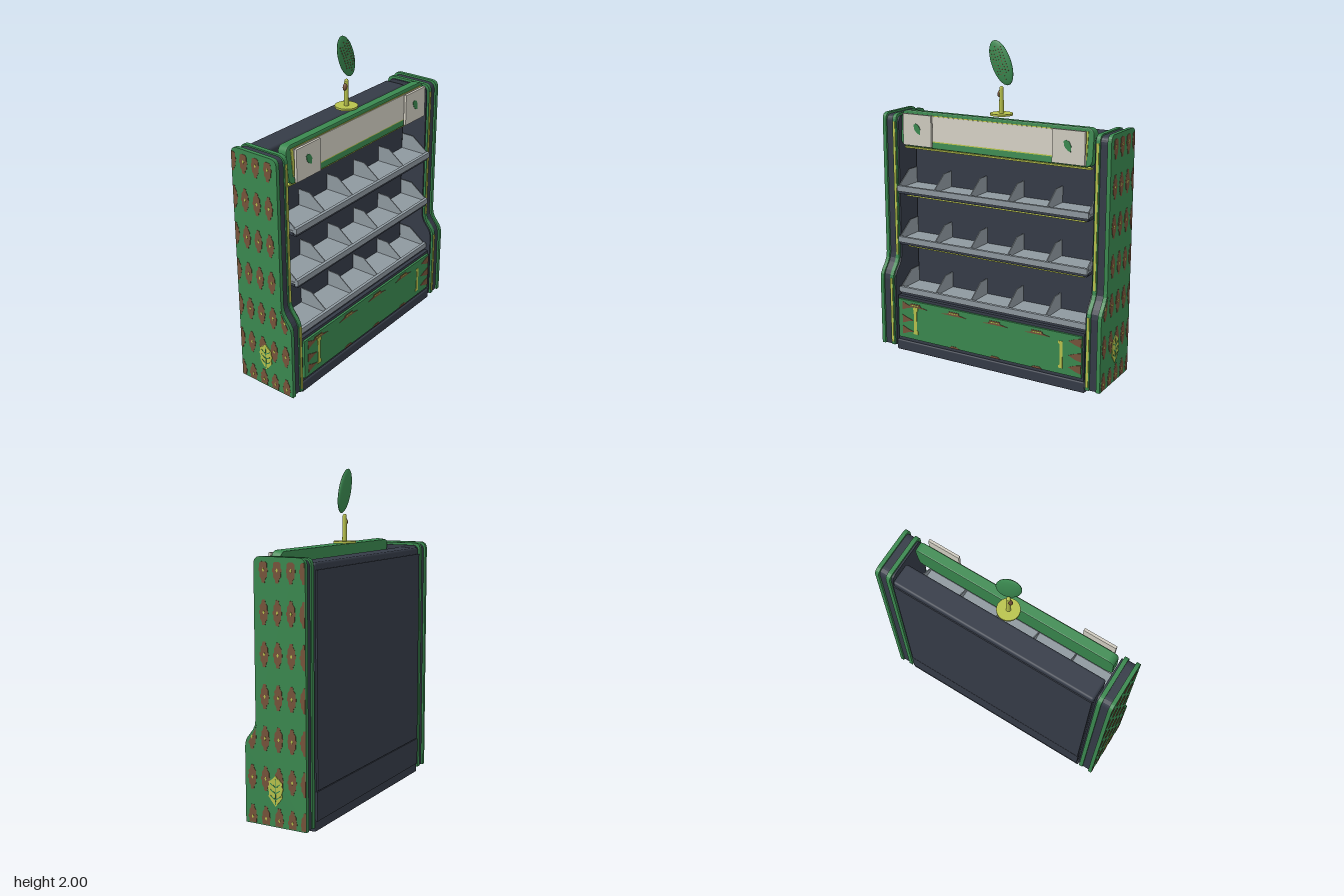
import * as THREE from 'three';
import { mergeGeometries } from 'three/addons/utils/BufferGeometryUtils.js';
import { RoundedBoxGeometry } from 'three/addons/geometries/RoundedBoxGeometry.js';

const paint = (name, color) => Object.assign(new THREE.MeshStandardMaterial({ color }), { name });

export function createModel() {
  const root = new THREE.Group();
  root.name = 'displayShelf';
  const green = paint('leaf green', 0x3a884f);
  const dark = paint('charcoal', 0x353b47);
  const grey = paint('shelf grey', 0x8e989f);
  const cream = paint('cream', 0xd0ccc0);
  const lime = paint('lime yellow', 0xb8c24c);
  const brown = paint('brown', 0x76533a);

  const add = (name, geo, mat, parent = root) => {
    const mesh = new THREE.Mesh(geo, mat);
    mesh.name = name;
    parent.add(mesh);
    return mesh;
  };
  // Box given by its limits on each axis, optionally with soft edges
  const block = (x0, x1, y0, y1, z0, z1, r = 0) => {
    const s = [x1 - x0, y1 - y0, z1 - z0];
    const g = r ? new RoundedBoxGeometry(...s, 2, r) : new THREE.BoxGeometry(...s);
    return g.translate((x0 + x1) / 2, (y0 + y1) / 2, (z0 + z1) / 2);
  };
  const poly = pts => new THREE.Shape(pts.map(p => new THREE.Vector2(...p)));
  const extrude = (shape, depth) => new THREE.ExtrudeGeometry(shape, { depth, bevelEnabled: false, curveSegments: 6 });
  // Shape drawn in (z, y), extruded along x between two limits
  const slabX = (shape, x0, x1) => extrude(shape, x1 - x0).rotateY(-Math.PI / 2).translate(x1, 0, 0);
  // Shape drawn in (x, y), lying on a front face
  const plateZ = (shape, z, t = 0.003) => extrude(shape, t).translate(0, 0, z);

  // Side outline in (z, y): wide foot, sloped step, rounded top
  const outline = (d, r) => {
    const s = new THREE.Shape();
    const back = -0.197 + d, top = 1.532 - d, front = 0.128 - d, foot = 0.2 - d;
    s.moveTo(back, 0.03);
    s.lineTo(foot, 0.03);
    s.lineTo(foot, 0.47);
    s.bezierCurveTo(foot, 0.54, front, 0.55, front, 0.63);
    s.lineTo(front, top - r);
    s.quadraticCurveTo(front, top, front - r, top);
    s.lineTo(back + r, top);
    s.quadraticCurveTo(back, top, back, top - r);
    return s;
  };
  const frontZ = y => 0.192 - 0.07 * THREE.MathUtils.clamp((y - 0.47) / 0.12, 0, 1);

  // Repeating woven motif, cut off at the panel edge
  const motif = (z, y) => {
    const half = [[0.009, 0.07], [0.013, 0.05], [0.024, 0.036], [0.024, 0.012], [0.029, 0.008]];
    const right = [...half, ...half.map(([a, b]) => [a, -b]).reverse()];
    const pts = [...right, ...right.map(([a, b]) => [-a, b]).reverse()];
    return poly(pts.map(([a, b]) => {
      const py = THREE.MathUtils.clamp(y + b, 0.036, 1.505);
      return [THREE.MathUtils.clamp(z + a, -0.193, frontZ(py)), py];
    }));
  };
  const diamond = (x, y, w, h) => poly([[x - w, y], [x, y - h], [x + w, y], [x, y + h]]);

  // Side panels with their pattern and leaf badge
  const leaf = poly([[0, 0.15], [0.022, 0.175], [0.045, 0.205], [0.04, 0.225], [0.05, 0.255], [0.042, 0.27], [0.043, 0.29],
    [0.02, 0.305], [0, 0.327], [-0.02, 0.305], [-0.043, 0.29], [-0.042, 0.27], [-0.05, 0.255], [-0.04, 0.225], [-0.045, 0.205], [-0.022, 0.175]]);
  const veins = [poly([[-0.003, 0.16], [0.003, 0.16], [0.002, 0.305], [-0.002, 0.305]])];
  for (const y of [0.185, 0.22, 0.255]) for (const s of [-1, 1]) {
    veins.push(poly([[0, y], [s * 0.032, y + 0.022], [s * 0.032, y + 0.028], [0, y + 0.008]]));
  }
  for (const s of [-1, 1]) {
    const side = new THREE.Group();
    side.name = s > 0 ? 'leftSide' : 'rightSide';
    root.add(side);
    const slab = (shape, a, b) => slabX(shape, Math.min(s * a, s * b), Math.max(s * a, s * b));
    add('outerPanel', slab(outline(0, 0.045), 0.752, 0.776), green, side);
    add('column', slab(outline(0.012, 0.045), 0.685, 0.752), dark, side);
    add('columnInner', slab(outline(0.018, 0.045), 0.669, 0.685), dark, side);
    add('edgeTrim', slab(outline(0.004, 0.045), 0.68, 0.706), green, side);
    // Light strips above and below the step
    const xs = [s * 0.693 - 0.007, s * 0.693 + 0.007];
    add('upperLightStrip', block(...xs, 0.62, 1.48, 0.115, 0.128), lime, side);
    add('lowerLightStrip', block(...xs, 0.05, 0.48, 0.185, 0.2), lime, side);

    const motifs = [], dots = [];
    [0.07, 0.3, 0.53, 0.765, 1.0, 1.23, 1.46].forEach((y, row) => {
      for (const z of [0.153, 0.065, -0.022, -0.108, -0.19]) {
        if (z > 0.1 && row > 2) continue;
        motifs.push(slab(motif(z, y), 0.774, 0.778));
        if (z > -0.15) dots.push(slab(diamond(z, y, 0.007, 0.012), 0.776, 0.779));
      }
    });
    add('sidePattern', mergeGeometries(motifs), brown, side);
    add('patternDots', mergeGeometries(dots), lime, side);
    add('leafBadge', slab(leaf, 0.776, 0.781), lime, side);
    add('leafBadgeVeins', mergeGeometries(veins.map(v => slab(v, 0.779, 0.7825))), green, side);
  }

  // Main body
  add('base', block(-0.67, 0.67, 0, 0.068, -0.19, 0.183, 0.008), dark);
  add('backWall', block(-0.66, 0.66, 0.06, 1.5, -0.192, -0.05, 0.015), dark);
  add('backPanel', block(-0.655, 0.655, 0.235, 1.46, -0.198, -0.185), dark);
  add('backLowerPanel', block(-0.66, 0.66, 0.06, 0.23, -0.198, -0.185), dark);
  add('lowerCabinet', block(-0.66, 0.66, 0.06, 0.368, -0.06, 0.172), dark);
  add('frontPanel', block(-0.65, 0.65, 0.092, 0.35, 0.165, 0.186), green);

  // Painted decoration of the front panel
  const marks = [], trims = [];
  const z = 0.186;
  for (const x of [-0.52, -0.23, 0.065, 0.355]) {
    marks.push(plateZ(poly([[x - 0.09, 0.309], [x + 0.09, 0.309], [x + 0.04, 0.319], [x + 0.035, 0.333], [x - 0.035, 0.333], [x - 0.04, 0.319]]), z));
    if (x > -0.5) marks.push(plateZ(poly([[x - 0.04, 0.092], [x + 0.04, 0.092], [x + 0.02, 0.105], [x - 0.02, 0.105]]), z));
    trims.push(plateZ(poly([[x - 0.03, 0.321], [x + 0.03, 0.321], [x + 0.03, 0.326], [x - 0.03, 0.326]]), z + 0.002));
  }
  for (const y of [0.145, 0.22, 0.31]) for (const s of [-1, 1]) {
    const a = s * 0.648, b = s * 0.565;
    marks.push(plateZ(poly(s > 0
      ? [[a, y - 0.028], [a, y + 0.028], [a - 0.04, y + 0.018], [b, y], [a - 0.04, y - 0.018]]
      : [[a + 0.03, y - 0.028], [a + 0.07, y - 0.012], [b + 0.03, y], [a + 0.07, y + 0.012], [a + 0.03, y + 0.028]]), z));
  }
  for (const s of [-1, 1]) {
    trims.push(plateZ(poly(s > 0
      ? [[0.5, 0.13], [0.528, 0.13], [0.528, 0.3], [0.5, 0.3], [0.5, 0.285], [0.51, 0.28], [0.51, 0.15], [0.5, 0.145]]
      : [[-0.537, 0.13], [-0.5, 0.13], [-0.5, 0.15], [-0.508, 0.16], [-0.508, 0.285], [-0.5, 0.29], [-0.5, 0.312], [-0.537, 0.312], [-0.53, 0.28], [-0.53, 0.15]]), z + 0.002));
  }
  add('frontPanelPattern', mergeGeometries(marks), brown);
  add('frontPanelBrackets', mergeGeometries(trims), lime);

  // Shelves with wedge dividers, price rail and light strip
  [1.067, 0.737, 0.403].forEach((y, i) => {
    const shelf = new THREE.Group();
    shelf.name = 'shelf' + (i + 1);
    root.add(shelf);
    add('shelfFloor', block(-0.66, 0.66, y - 0.012, y, -0.05, 0.14), grey, shelf);
    add('shelfLip', block(-0.66, 0.66, y - 0.018, y + 0.018, 0.137, 0.157), grey, shelf);
    add('shelfRail', block(-0.655, 0.655, y - 0.034, y - 0.02, 0.125, 0.148), dark, shelf);
    add('shelfSupport', block(-0.64, 0.64, y - 0.045, y - 0.012, -0.05, 0.115), dark, shelf);
    if (i < 2) add('shelfLight', block(-0.62, 0.62, y - 0.054, y - 0.045, 0.09, 0.11), lime, shelf);
    const wedge = poly([[-0.05, y - 0.002], [0.138, y - 0.002], [0.138, y + 0.02], [0.03, y + 0.1], [-0.05, y + 0.1]]);
    const dividers = [-0.653, -0.39, -0.13, 0.13, 0.39, 0.653].map(x => slabX(wedge, x - 0.003, x + 0.003));
    add('dividers', mergeGeometries(dividers), grey, shelf);
  });

  // Tilted header sign
  const header = new THREE.Group();
  header.name = 'header';
  header.position.set(0, 1.442, 0.07);
  header.rotation.x = -0.1;
  root.add(header);
  const w = 0.648, h = 0.105, r = 0.035;
  const sign = new THREE.Shape();
  sign.absarc(w - r, h - r, r, 0, Math.PI / 2);
  sign.absarc(-w + r, h - r, r, Math.PI / 2, Math.PI);
  sign.absarc(-w + r, -h + r, r, Math.PI, Math.PI * 1.5);
  sign.absarc(w - r, -h + r, r, Math.PI * 1.5, Math.PI * 2);
  const board = new THREE.ExtrudeGeometry(sign, { depth: 0.048, bevelSize: 0.007, bevelThickness: 0.007, bevelSegments: 2, curveSegments: 6 });
  add('headerBoard', board.translate(0, 0, -0.024), green, header);
  add('headerGlow', block(-0.62, 0.62, -0.072, 0.09, 0.025, 0.034), lime, header);
  add('headerFace', block(-0.6, 0.6, -0.065, 0.085, 0.03, 0.038), cream, header);
  add('headerLight', block(-0.64, 0.64, 1.316, 1.326, 0.06, 0.09), lime);
  for (const s of [-1, 1]) {
    add('headerPlate', block(s * 0.515 - 0.103, s * 0.515 + 0.103, 1.345, 1.54, 0.118, 0.134), cream);
    const c = s * 0.512;
    const emblem = poly([[-0.026, 0.025], [-0.012, 0.034], [0.01, 0.024], [0.022, 0], [0.02, -0.034], [0, -0.026], [-0.02, -0.006]].map(([a, b]) => [a + c, b + 1.45]).reverse());
    add('plateEmblem', plateZ(emblem, 0.134), green);
  }

  // Topper: disc foot, stem and upright leaf
  const topper = new THREE.Group();
  topper.name = 'topper';
  topper.position.z = -0.007;
  root.add(topper);
  add('topperFoot', new THREE.CylinderGeometry(0.068, 0.068, 0.012, 32).translate(0, 1.567, 0), lime, topper);
  add('topperStem', new THREE.CylinderGeometry(0.012, 0.015, 0.15, 16).translate(0, 1.648, 0), lime, topper);
  add('stemTip', new THREE.SphereGeometry(0.012, 12, 8).translate(0, 1.722, 0), lime, topper);
  add('stemBud', new THREE.SphereGeometry(0.013, 12, 8).scale(1, 1.8, 1).rotateZ(-0.4).translate(-0.012, 1.69, 0), brown, topper);
  const topLeaf = new THREE.Group();
  topLeaf.name = 'topperLeaf';
  topLeaf.position.set(-0.002, 1.87, 0);
  topLeaf.rotation.z = 0.4;
  topper.add(topLeaf);
  add('leafBlade', new THREE.SphereGeometry(1, 32, 20).scale(0.066, 0.138, 0.019), green, topLeaf);
  // Speckled veins following the curved blade
  const specks = [];
  const speck = (x, y) => {
    const d = 0.019 * Math.sqrt(Math.max(0, 1 - (x / 0.066) ** 2 - (y / 0.138) ** 2));
    specks.push(new THREE.BoxGeometry(0.006, 0.006, 0.004).translate(x, y, d));
  };
  for (let i = -5; i <= 5; i++) {
    speck(0, i * 0.02);
    if (Math.abs(i) < 5) for (const s of [-1, 1]) for (const t of [0.018, 0.036]) speck(s * t, i * 0.018 + t * 0.4);
  }
  add('leafVeins', mergeGeometries(specks), brown, topLeaf);
  return root;
}
